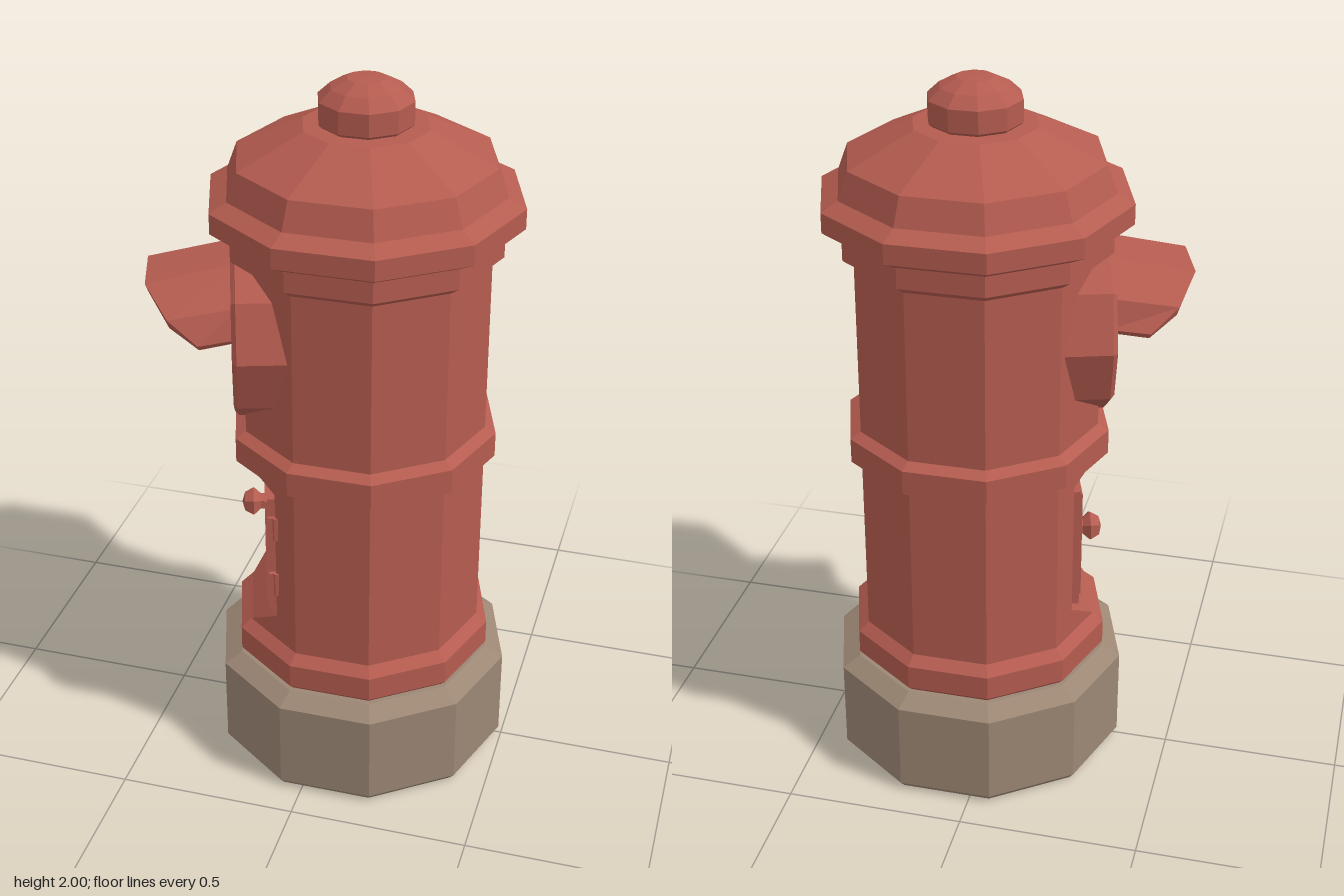
import * as THREE from 'three';

const red = new THREE.MeshStandardMaterial({ color: 0xb55c50, flatShading: true });
red.name = 'paintedRed';
const stone = new THREE.MeshStandardMaterial({ color: 0x9c8774, flatShading: true });
stone.name = 'stone';
const metal = new THREE.MeshStandardMaterial({ color: 0x857c70, flatShading: true });
metal.name = 'slotMetal';

const SIDES = 10;

function add(parent, name, geometry, material, x = 0, y = 0, z = 0) {
  const mesh = new THREE.Mesh(geometry, material);
  mesh.name = name;
  mesh.position.set(x, y, z);
  parent.add(mesh);
  return mesh;
}

// Ten-sided turned shape from [radius, height] pairs, bottom to top
function turned(profile, phi = Math.PI / 10, sides = SIDES) {
  return new THREE.LatheGeometry(profile.map(([r, y]) => new THREE.Vector2(r, y)), sides, phi);
}

// Column whose front facet is cut back to a flat seat behind the door
function columnGeometry() {
  const R = 0.34, seat = 0.25;
  const g = turned([[R, 0.4], [R, 0.42], [R, 0.5], [R, 0.9], [R, 0.945], [R, 1.56]]);
  const p = g.attributes.position;
  const apothem = R * Math.cos(Math.PI / 10), half = R * Math.sin(Math.PI / 10);
  for (let i = 0; i < p.count; i++) {
    const y = p.getY(i);
    if (y > 0.45 && y < 0.92 && p.getZ(i) > seat) {
      const slide = half + (apothem - seat) * Math.tan(Math.PI * 0.3);
      p.setX(i, Math.sign(p.getX(i)) * slide);
      p.setZ(i, seat);
    }
  }
  return g;
}

// Faceted awning, a thin shell lofted from the collar to its outer rim
function hoodGeometry() {
  const mirror = (half) => [...half.map(([x, y, z]) => [-x, y, z]), ...half.slice().reverse()];
  const rows = [
    mirror([[0.21, 1.375, 0.33], [0.19, 1.455, 0.33], [0.08, 1.53, 0.33]]),
    mirror([[0.235, 1.37, 0.438], [0.203, 1.43, 0.515], [0.085, 1.478, 0.574]]),
    mirror([[0.225, 1.355, 0.435], [0.195, 1.405, 0.51], [0.08, 1.455, 0.567]]),
    mirror([[0.195, 1.36, 0.33], [0.175, 1.435, 0.33], [0.075, 1.505, 0.33]]),
  ];
  const pos = [];
  const quad = (a, b, c, d) => pos.push(...a, ...b, ...c, ...a, ...c, ...d);
  for (let i = 0; i < 3; i++) {
    for (let j = 0; j < 5; j++) quad(rows[i][j], rows[i + 1][j], rows[i + 1][j + 1], rows[i][j + 1]);
  }
  quad(rows[0][5], rows[1][5], rows[2][5], rows[3][5]);
  quad(rows[3][0], rows[2][0], rows[1][0], rows[0][0]);
  const g = new THREE.BufferGeometry();
  g.setAttribute('position', new THREE.Float32BufferAttribute(pos, 3));
  g.computeVertexNormals();
  return g;
}

export function createModel() {
  const model = new THREE.Group();
  model.name = 'postBox';

  // Local +z is the side with slot and door
  const box = new THREE.Group();
  box.name = 'pillar';
  box.position.x = 0.07;
  box.rotation.y = -Math.PI * 0.4;
  model.add(box);

  // Stone foot
  add(box, 'base', turned([[0, 0], [0.405, 0], [0.422, 0.02], [0.422, 0.28], [0.37, 0.31], [0, 0.31]]), stone);

  // Column and its bands
  add(box, 'column', columnGeometry(), red);
  add(box, 'lowerBand', turned([[0.33, 0.305], [0.355, 0.31], [0.37, 0.325], [0.37, 0.395], [0.335, 0.425]]), red);
  add(box, 'middleBand', turned([[0.335, 0.94], [0.37, 0.955], [0.37, 1.025], [0.335, 1.045]]), red);
  add(box, 'upperBand', turned([[0.335, 1.525], [0.37, 1.55], [0.37, 1.615]]), red);

  // Lid and finial
  add(box, 'lid', turned([
    [0.3, 1.605], [0.375, 1.61], [0.422, 1.635], [0.422, 1.69], [0.375, 1.715],
    [0.347, 1.79], [0.168, 1.875], [0, 1.88],
  ]), red);
  add(box, 'finial', turned([
    [0.11, 1.87], [0.127, 1.885], [0.127, 1.945], [0.095, 1.975], [0.05, 1.997], [0, 2],
  ]), red);

  // Collar around the slot, with a recessed face
  const collar = turned([
    [0.26, 0.15], [0.26, 0.34], [0.248, 0.352], [0.228, 0.352], [0.22, 0.335], [0, 0.335],
  ], Math.PI / 2);
  collar.rotateX(Math.PI / 2);
  add(box, 'slotCollar', collar, red, 0, 1.325, 0);
  add(box, 'slotPlate', new THREE.BoxGeometry(0.3, 0.09, 0.009), metal, 0, 1.325, 0.339);
  add(box, 'hood', hoodGeometry(), red);

  // Door with raised panel, knob and hinges
  add(box, 'door', new THREE.BoxGeometry(0.4, 0.365, 0.05), red, 0, 0.7, 0.245);
  add(box, 'doorPanel', new THREE.BoxGeometry(0.36, 0.325, 0.01), red, 0, 0.7, 0.272);
  const knob = turned([[0.025, 0], [0.025, 0.015], [0.045, 0.035], [0.03, 0.06], [0, 0.068]], 0, 6);
  knob.rotateX(Math.PI / 2);
  add(box, 'doorKnob', knob, red, -0.08, 0.7, 0.275);
  for (const y of [0.793, 0.611]) {
    add(box, 'hingeLeaf', new THREE.BoxGeometry(0.012, 0.07, 0.04), red, 0.204, y, 0.25);
    add(box, 'hingePin', new THREE.CylinderGeometry(0.01, 0.01, 0.07, 6), red, 0.208, y, 0.248);
  }
  return model;
}
